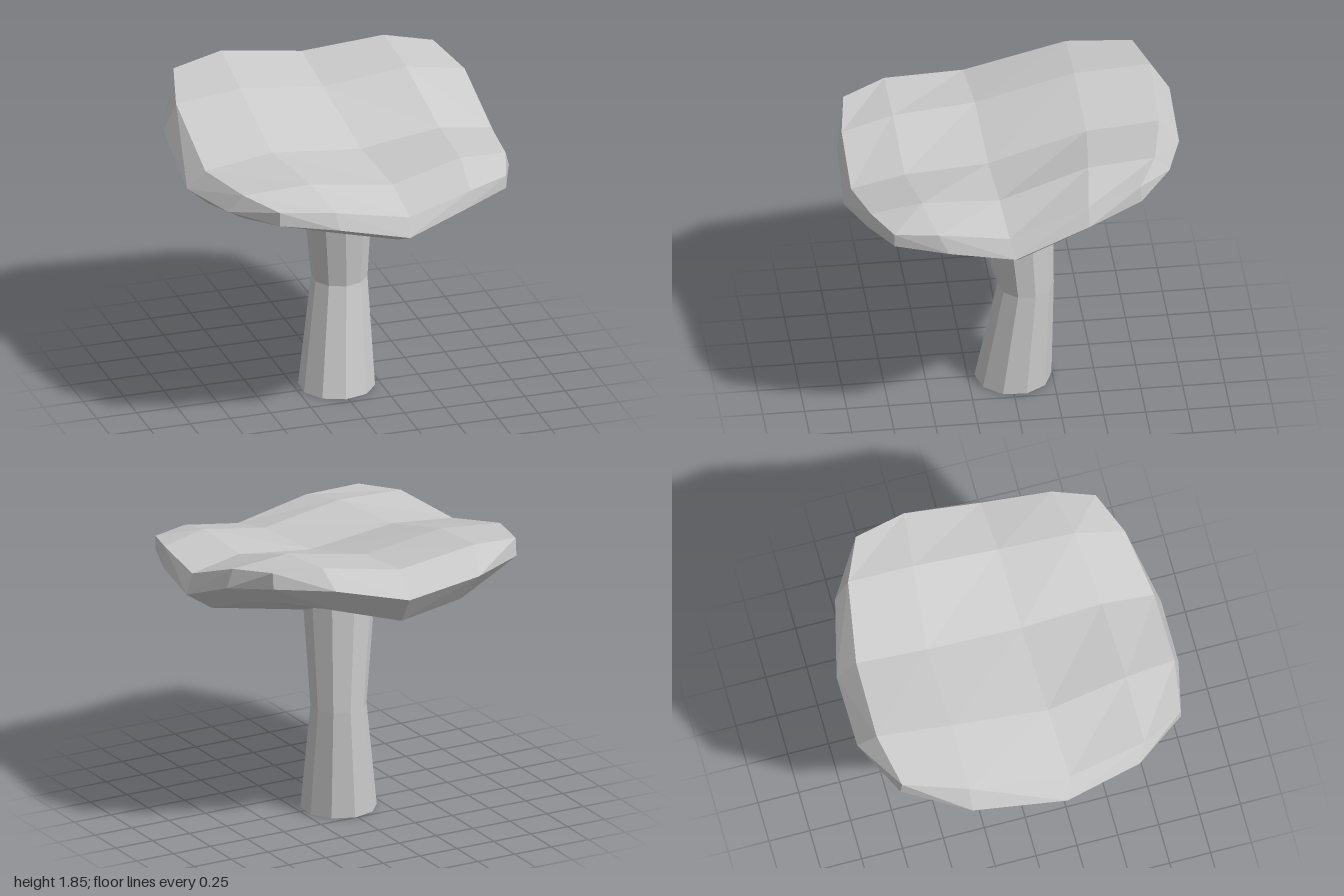
import * as THREE from 'three';

const V = (x, y, z) => new THREE.Vector3(x, y, z);

// Top of the cap: 5 x 5 wavy sheet, rows run back to front, each point [x, y, z]
const TOP = [
  [[-0.75, 1.81, -0.82], [-0.43, 1.85, -0.89], [0.07, 1.78, -0.88], [0.55, 1.85, -0.8], [0.82, 1.83, -0.68]],
  [[-0.86, 1.76, -0.44], [-0.46, 1.8, -0.44], [0.06, 1.735, -0.45], [0.56, 1.815, -0.4], [0.91, 1.77, -0.36]],
  [[-0.88, 1.59, 0.17], [-0.46, 1.64, 0.15], [0.1, 1.58, 0.14], [0.59, 1.645, 0.13], [0.92, 1.59, 0.11]],
  [[-0.8, 1.625, 0.65], [-0.38, 1.64, 0.65], [0.13, 1.56, 0.64], [0.57, 1.65, 0.59], [0.87, 1.615, 0.53]],
  [[-0.66, 1.605, 0.91], [-0.33, 1.58, 0.96], [0.13, 1.485, 0.96], [0.53, 1.57, 0.89], [0.79, 1.585, 0.78]],
].map((row) => row.map((p) => V(...p)));

// Widest outline of the cap, from the back corner round by the +x side
const RIM = [
  [-0.75, 1.7, -0.83], [-0.4, 1.69, -1], [0.07, 1.625, -1], [0.51, 1.725, -0.89],
  [0.82, 1.73, -0.69], [0.95, 1.655, -0.36], [0.975, 1.475, 0.08], [0.91, 1.505, 0.47],
  [0.79, 1.505, 0.78], [0.51, 1.47, 0.91], [0.12, 1.37, 1], [-0.31, 1.475, 0.99],
  [-0.66, 1.52, 0.91], [-0.88, 1.51, 0.6], [-0.98, 1.47, 0.13], [-0.94, 1.6, -0.44],
].map((p) => V(...p));

// How far the underside edge hangs below each rim point
const DROP = [0.13, 0.17, 0.17, 0.17, 0.13, 0.12, 0.095, 0.085, 0.07, 0.09, 0.085, 0.1, 0.075, 0.11, 0.135, 0.14];

function capGeometry() {
  const pts = [];
  const tri = (...ps) => pts.push(...ps);
  const quad = (a, b, c, d) => { tri(a, b, c); tri(a, c, d); };

  // Quad split along the diagonal that folds outward
  const bulgingQuad = (a, b, c, d) => {
    const plane = new THREE.Plane().setFromCoplanarPoints(a, b, c);
    if (plane.distanceToPoint(d) > 0) quad(b, c, d, a);
    else quad(a, b, c, d);
  };

  // Wavy top
  for (let r = 0; r < 4; r++) {
    for (let c = 0; c < 4; c++) quad(TOP[r][c], TOP[r + 1][c], TOP[r + 1][c + 1], TOP[r][c + 1]);
  }

  // Perimeter of the top in the same order as the rim
  const edge = [];
  for (let i = 0; i < 4; i++) edge.push(TOP[0][i]);
  for (let i = 0; i < 4; i++) edge.push(TOP[i][4]);
  for (let i = 4; i > 0; i--) edge.push(TOP[4][i]);
  for (let i = 4; i > 0; i--) edge.push(TOP[i][0]);

  // Upper bevel, lower bevel and the gill side meeting inside the stem
  const under = RIM.map((p, i) => V(p.x * 0.85, p.y - DROP[i], p.z * 0.85 - 0.03));
  const centre = V(0.03, 1.24, -0.03);
  for (let i = 0; i < 16; i++) {
    const j = (i + 1) % 16;
    bulgingQuad(edge[i], edge[j], RIM[j], RIM[i]);
    bulgingQuad(RIM[i], RIM[j], under[j], under[i]);
    tri(under[i], under[j], centre);
  }
  const g = new THREE.BufferGeometry().setFromPoints(pts);
  g.computeVertexNormals();
  return g;
}

function stemGeometry() {
  // Rings from bottom to top: centre x, y, centre z, radius
  const rings = [[0, 0, -0.02, 0.228], [0.04, 0.67, -0.09, 0.167], [0.01, 1.33, -0.04, 0.215]];
  const g = new THREE.CylinderGeometry(1, 1, 2, 10, 2);
  g.rotateY(0.56);
  const p = g.attributes.position;
  for (let i = 0; i < p.count; i++) {
    const [cx, y, cz, rad] = rings[Math.round(p.getY(i)) + 1];
    p.setXYZ(i, cx + p.getX(i) * rad, y, cz + p.getZ(i) * rad);
  }
  g.computeVertexNormals();
  return g;
}

export function createModel() {
  const material = new THREE.MeshStandardMaterial({ color: 0xcccccc, flatShading: true });
  const group = new THREE.Group();
  group.name = 'mushroom';
  const add = (name, geometry) => {
    const mesh = new THREE.Mesh(geometry, material);
    mesh.name = name;
    group.add(mesh);
  };
  add('cap', capGeometry());
  add('stem', stemGeometry());
  return group;
}
